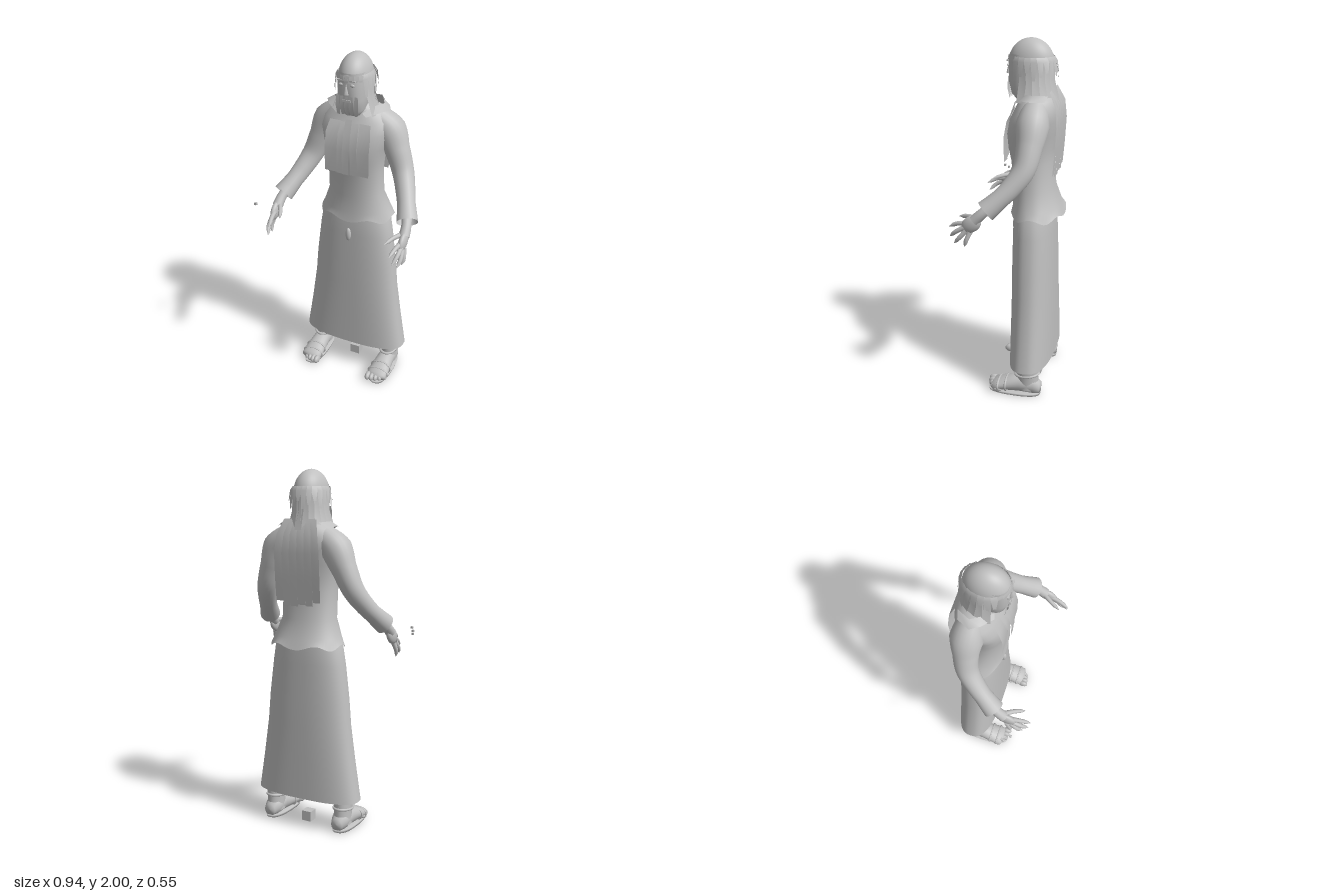
import * as THREE from 'three';

const V = (p) => new THREE.Vector3(...p);

// Stack of closed rings [t, centreX, radiusX, centre2, radius2, squareness] along y or z
function loft(rings, axis = 'y', seg = 40, warp = null) {
  const pos = [], idx = [];
  rings.forEach(([t, c1, r1, c2, r2, n = 2], i) => {
    for (let j = 0; j < seg; j++) {
      const a = (j / seg) * Math.PI * 2, c = Math.cos(a), s = Math.sin(a);
      const u = c1 + r1 * Math.sign(c) * Math.abs(c) ** (2 / n);
      const w = c2 + r2 * Math.sign(s) * Math.abs(s) ** (2 / n);
      const h = t + (warp ? warp(i, a) : 0);
      pos.push(...(axis === 'y' ? [u, h, w] : [u, w, h]));
      if (i < rings.length - 1) {
        const p = i * seg + j, q = i * seg + (j + 1) % seg, P = p + seg, Q = q + seg;
        idx.push(...(axis === 'y' ? [p, P, q, q, P, Q] : [p, q, P, q, Q, P]));
      }
    }
  });
  const g = new THREE.BufferGeometry();
  g.setAttribute('position', new THREE.Float32BufferAttribute(pos, 3));
  g.setIndex(idx);
  g.computeVertexNormals();
  return g;
}

// Body ring given by its front and back z
const yRing = (y, hx, zf, zb, n) => [y, 0, hx, (zf + zb) / 2, (zf - zb) / 2, n];

// Tube along points whose radius changes from point to point
function limb(points, radii, seg = 24, radial = 16) {
  const curve = new THREE.CatmullRomCurve3(points.map(V));
  const g = new THREE.TubeGeometry(curve, seg, 1, radial);
  const p = g.attributes.position, v = new THREE.Vector3();
  for (let i = 0; i < p.count; i++) {
    const u = Math.floor(i / (radial + 1)) / seg, k = u * (radii.length - 1);
    const a = Math.min(Math.floor(k), radii.length - 2);
    const r = THREE.MathUtils.lerp(radii[a], radii[a + 1], k - a);
    const c = curve.getPointAt(u);
    v.fromBufferAttribute(p, i).sub(c).multiplyScalar(r).add(c);
    p.setXYZ(i, v.x, v.y, v.z);
  }
  return g;
}

// Flat lock following points; side is the width direction
function ribbon(points, widths, side) {
  const pos = [], idx = [], s = V(side).normalize();
  points.forEach((q, i) => {
    for (const e of [-0.5, 0.5]) pos.push(...V(q).addScaledVector(s, e * widths[i]).toArray());
    if (i) { const k = i * 2; idx.push(k - 2, k, k - 1, k - 1, k, k + 1); }
  });
  const g = new THREE.BufferGeometry();
  g.setAttribute('position', new THREE.Float32BufferAttribute(pos, 3));
  g.setIndex(idx);
  g.computeVertexNormals();
  return g;
}

export function createModel() {
  const root = new THREE.Group();
  root.name = 'robedFigure';
  const grey = new THREE.MeshStandardMaterial({ color: 0xc0c0c0, side: THREE.DoubleSide });
  grey.name = 'plainGrey';
  const add = (parent, name, geo, at = [0, 0, 0], scale = [1, 1, 1]) => {
    const m = new THREE.Mesh(geo, grey);
    m.name = name;
    m.position.set(...at);
    m.scale.set(...scale);
    parent.add(m);
    return m;
  };
  const ball = new THREE.SphereGeometry(1, 24, 16);
  const box = new THREE.BoxGeometry(1, 1, 1);

  // The body is symmetric about x = 0.04
  const body = new THREE.Group();
  body.name = 'body';
  body.position.x = 0.04;
  root.add(body);

  // Long open skirt
  add(body, 'skirt', loft([
    yRing(0.18, 0.318, 0.005, -0.235, 2.6), yRing(0.4, 0.283, 0.005, -0.233, 2.5),
    yRing(0.6, 0.255, 0.005, -0.23, 2.4), yRing(0.75, 0.242, 0.005, -0.228, 2.4),
    yRing(0.95, 0.217, 0.003, -0.222, 2.4), yRing(1.06, 0.2, 0, -0.22, 2.3),
    yRing(1.14, 0.165, -0.01, -0.21, 2.3)], 'y', 56));
  add(body, 'pendant', ball, [0, 0.955, 0.008], [0.016, 0.04, 0.014]);

  // Shirt with a wavy flared hem
  add(body, 'shirt', loft([
    yRing(1.055, 0.215, 0.018, -0.272, 2.3), yRing(1.1, 0.196, 0.01, -0.25, 2.2),
    yRing(1.2, 0.158, 0.008, -0.217, 2.2), yRing(1.35, 0.155, 0.02, -0.205, 2.3),
    yRing(1.42, 0.162, 0.035, -0.21, 2.3), yRing(1.5, 0.175, 0.042, -0.22, 2.3),
    yRing(1.58, 0.2, 0.025, -0.232, 2.3), yRing(1.64, 0.195, -0.005, -0.232, 2.2),
    yRing(1.69, 0.15, -0.025, -0.222, 2), yRing(1.73, 0.075, -0.035, -0.19, 2)],
  'y', 56, (i, a) => (i === 0 ? 0.013 * Math.cos(6 * a) : 0)));
  add(body, 'neck', loft([yRing(1.66, 0.085, -0.02, -0.2), yRing(1.74, 0.062, -0.03, -0.18),
    yRing(1.85, 0.06, -0.03, -0.17)]));

  // Face and skull
  add(body, 'face', loft([
    yRing(1.675, 0.001, -0.04, -0.05), yRing(1.678, 0.05, -0.005, -0.1, 2.4),
    yRing(1.71, 0.068, 0.022, -0.12, 2.6), yRing(1.77, 0.075, 0.037, -0.16, 2.6),
    yRing(1.86, 0.08, 0.04, -0.18, 2.5), yRing(1.92, 0.078, 0.034, -0.18, 2.3)]));
  add(body, 'nose', new THREE.ConeGeometry(0.014, 0.06, 4), [0, 1.84, 0.042]);
  add(body, 'mouth', box, [0, 1.775, 0.037], [0.045, 0.012, 0.012]);
  for (const s of [-1, 1]) {
    add(body, 'eye', ball, [s * 0.032, 1.86, 0.036], [0.013, 0.008, 0.006]);
    add(body, 'brow', box, [s * 0.033, 1.885, 0.038], [0.036, 0.007, 0.008]);
  }
  for (let i = -2; i <= 2; i++) {
    add(body, 'faceBeardLock', ribbon([[i * 0.026, 1.8, 0.04 - 0.002 * i * i], [i * 0.026, 1.74, 0.041 - 0.002 * i * i],
      [i * 0.025, 1.69 + 0.003 * (i & 1), 0.024]], [0.018, 0.024, 0.016], [1, 0, 0]));
  }

  // Hair cap with a jagged edge
  add(body, 'hairCap', new THREE.SphereGeometry(1, 36, 14, 0, Math.PI * 2, 0, Math.PI * 0.5),
    [0, 1.87, -0.08], [0.089, 0.13, 0.122]);
  for (let i = 0; i < 24; i++) {
    const a = (i / 24) * Math.PI * 2, c = Math.cos(a), s = Math.sin(a);
    const out = s < -0.3 ? 0.022 : s < 0.6 ? 0.014 : 0;
    const drop = s > 0.6 ? 0.012 : 0.055 + 0.02 * (i % 3);
    add(body, 'fringeTuft', ribbon([[0.087 * c, 1.91, -0.08 + 0.12 * s], [(0.092 + out / 2) * c, 1.888, -0.08 + (0.124 + out / 2) * s],
      [(0.092 + out) * c, 1.888 - drop, -0.08 + (0.123 + out) * s]], [0.034, 0.034, 0.014], [-s, 0, c]));
  }
  // Long locks over the neck, sides and back
  for (let i = 0; i <= 12; i++) {
    const a = Math.PI * (0.93 + 1.14 * i / 12), c = Math.cos(a), s = Math.sin(a);
    add(body, 'neckLock', ribbon([[0.087 * c, 1.89, -0.08 + 0.118 * s], [0.092 * c, 1.78, -0.08 + 0.122 * s],
      [0.125 * c, 1.68, -0.08 + 0.148 * s]], [0.04, 0.042, 0.042], [-s, 0, c]));
  }
  const backEnds = [1.3, 1.28, 1.285, 1.275, 1.28, 1.3];
  backEnds.forEach((end, i) => {
    const x = (i - 2.5) * 0.046;
    add(body, 'backLock', ribbon([[x * 0.7, 1.74, -0.2], [x * 0.9, 1.66, -0.238], [x, 1.56, -0.246],
      [x, 1.42, -0.238], [x, end, -0.228]], [0.036, 0.044, 0.047, 0.047, 0.045], [1, 0, 0]));
  });

  // Flat beard panels down the chest
  for (const [x0, x1, top] of [[-0.128, -0.056, 1.64], [-0.054, -0.022, 1.64], [-0.02, 0.02, 1.66],
    [0.022, 0.06, 1.64], [0.062, 0.13, 1.64]]) {
    const x = (x0 + x1) / 2, w = x1 - x0, f = 0.012 * Math.abs(x) / 0.09;
    add(body, 'chestPanel', ribbon([[x * 0.9, top, 0.006 - f], [x, 1.58, 0.035 - f], [x, 1.49, 0.052 - f], [x, 1.355, 0.05 - f]],
      [w * 0.9, w, w, w], [1, 0, 0]));
  }

  // Arms, hands and feet, mirrored
  for (const s of [1, -1]) {
    const half = new THREE.Group();
    half.name = s > 0 ? 'leftLimbs' : 'rightLimbs';
    half.scale.x = s;
    body.add(half);

    add(half, 'sleeve', limb([[0.1, 1.645, -0.125], [0.175, 1.585, -0.13], [0.225, 1.48, -0.125], [0.272, 1.365, -0.105],
      [0.315, 1.275, -0.045], [0.355, 1.2, 0.03], [0.375, 1.165, 0.07]],
    [0.07, 0.089, 0.07, 0.062, 0.055, 0.05, 0.058], 36, 22));
    add(half, 'collarFlap', ribbon([[0.075, 1.685, -0.02], [0.13, 1.71, -0.07], [0.165, 1.715, -0.12], [0.13, 1.71, -0.19]],
      [0.03, 0.05, 0.05, 0.05], [0.8, -0.5, 0.2]));
    add(half, 'wrist', limb([[0.355, 1.2, 0.03], [0.377, 1.15, 0.088], [0.383, 1.11, 0.13]], [0.032, 0.027, 0.03]));
    const palm = add(half, 'palm', ball, [0.385, 1.09, 0.145], [0.022, 0.043, 0.06]);
    palm.rotation.x = 0.65;
    const fingers = [
      [[0.372, 1.12, 0.125], [0.34, 1.115, 0.175], [0.313, 1.1, 0.232]],
      [[0.38, 1.09, 0.175], [0.37, 1.08, 0.225], [0.358, 1.055, 0.275]],
      [[0.387, 1.07, 0.18], [0.385, 1.04, 0.23], [0.372, 1.005, 0.268]],
      [[0.392, 1.055, 0.17], [0.397, 1.01, 0.21], [0.388, 0.975, 0.24]],
      [[0.393, 1.05, 0.15], [0.402, 1.0, 0.17], [0.395, 0.965, 0.182]]];
    for (const f of fingers) add(half, 'finger', limb(f, [0.015, 0.013, 0.012, 0.011, 0.002], 12, 10));

    // Sandalled foot
    add(half, 'ankle', loft([[0.04, 0.222, 0.05, -0.125, 0.065], [0.12, 0.222, 0.047, -0.12, 0.062],
      [0.2, 0.222, 0.052, -0.115, 0.072], [0.3, 0.215, 0.058, -0.115, 0.078]], 'y', 24));
    add(half, 'foot', loft([[-0.2, 0.222, 0.002, 0.05, 0.002], [-0.195, 0.222, 0.035, 0.05, 0.035],
      [-0.16, 0.222, 0.049, 0.062, 0.052], [-0.08, 0.222, 0.05, 0.066, 0.054], [-0.02, 0.222, 0.056, 0.058, 0.046],
      [0.04, 0.222, 0.062, 0.046, 0.034], [0.075, 0.222, 0.06, 0.04, 0.028], [0.09, 0.222, 0.002, 0.038, 0.002]], 'z', 24));
    add(half, 'sole', loft([[0.003, 0.222, 0.001, -0.045, 0.001], [0.004, 0.222, 0.056, -0.045, 0.15, 2.6],
      [0.02, 0.222, 0.06, -0.045, 0.155, 2.6], [0.021, 0.222, 0.001, -0.045, 0.001]], 'y', 32));
    for (let i = 0; i < 5; i++) {
      add(half, 'toe', ball, [0.175 + i * 0.024, 0.036 - i * 0.002, 0.089 - i * i * 0.0025],
        [0.017 - i * 0.001, 0.024 - i * 0.002, 0.031 - i * 0.001]);
    }
    const strap = add(half, 'ankleStrap', new THREE.TorusGeometry(1, 0.12, 8, 28), [0.222, 0.13, -0.118], [0.051, 0.067, 0.06]);
    strap.rotation.x = Math.PI / 2 + 0.12;
    for (const [z, y, hx, hy] of [[0, 0.052, 0.061, 0.043], [0.045, 0.044, 0.063, 0.035]]) {
      add(half, 'footStrap', new THREE.TorusGeometry(1, 0.08, 8, 28), [0.222, y, z], [hx, hy, 0.08]);
    }
  }

  // Loose small blocks
  add(root, 'floorBlock', box, [0.04, 0.042, -0.125], [0.058, 0.058, 0.058]);
  for (const p of [[-0.465, 1.108, 0.16], [-0.458, 1.12, 0.18], [-0.442, 1.135, 0.2]]) {
    add(root, 'smallBlock', box, p, [0.012, 0.012, 0.012]);
  }
  return root;
}
